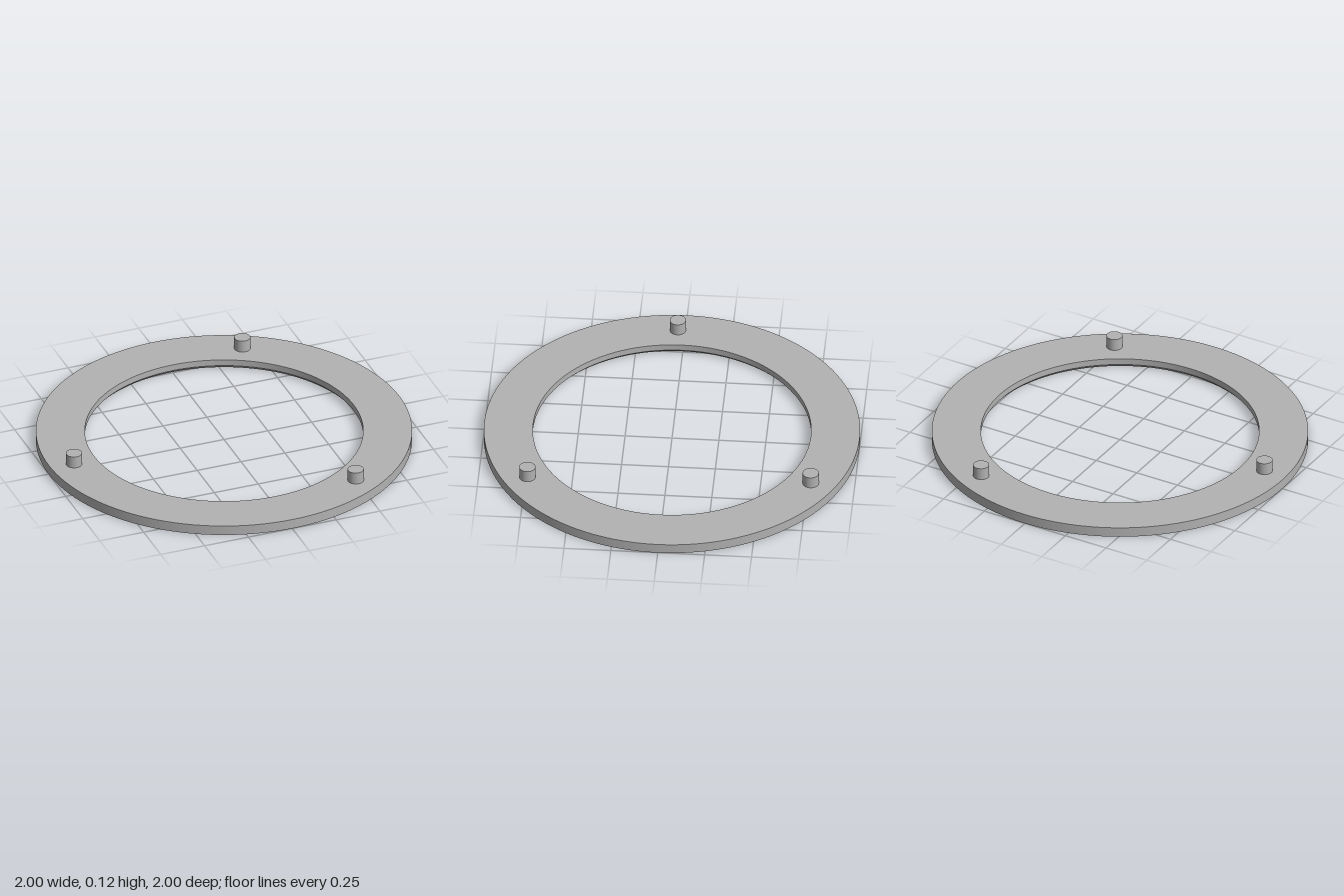
import * as THREE from 'three';
import { toCreasedNormals } from 'three/addons/utils/BufferGeometryUtils.js';

const OUTER = 1, INNER = 0.74, THICK = 0.055;
const GROOVES = 4, PITCH = 0.044, HALF = 0.018, DEPTH = 0.02;

export function createModel() {
  const model = new THREE.Group();
  const grey = new THREE.MeshStandardMaterial({ color: 0xb2b2b2 });
  grey.name = 'grey';

  // Ring section: chamfered inner edge, V grooves underneath, plain rim and top
  const section = [[INNER, DEPTH], [INNER + HALF, 0]];
  for (let i = 1; i <= GROOVES; i++) {
    const r = INNER + i * PITCH;
    section.push([r - HALF, 0], [r, DEPTH], [r + HALF, 0]);
  }
  section.push([OUTER, 0], [OUTER, THICK], [INNER, THICK], [INNER, DEPTH]);
  const points = section.map(([r, y]) => new THREE.Vector2(r, y));
  const ring = new THREE.Mesh(toCreasedNormals(new THREE.LatheGeometry(points, 128), 0.5), grey);
  ring.name = 'groovedRing';
  model.add(ring);

  // Three locating pegs, evenly spaced around the top face
  const pegHeight = 0.067;
  const pegGeometry = new THREE.CylinderGeometry(0.043, 0.043, pegHeight, 40);
  for (let i = 0; i < 3; i++) {
    const angle = THREE.MathUtils.degToRad(57.7 + i * 120);
    const peg = new THREE.Mesh(pegGeometry, grey);
    peg.name = 'peg' + (i + 1);
    peg.position.set(0.87 * Math.cos(angle), THICK + pegHeight / 2, 0.87 * Math.sin(angle));
    model.add(peg);
  }
  return model;
}
